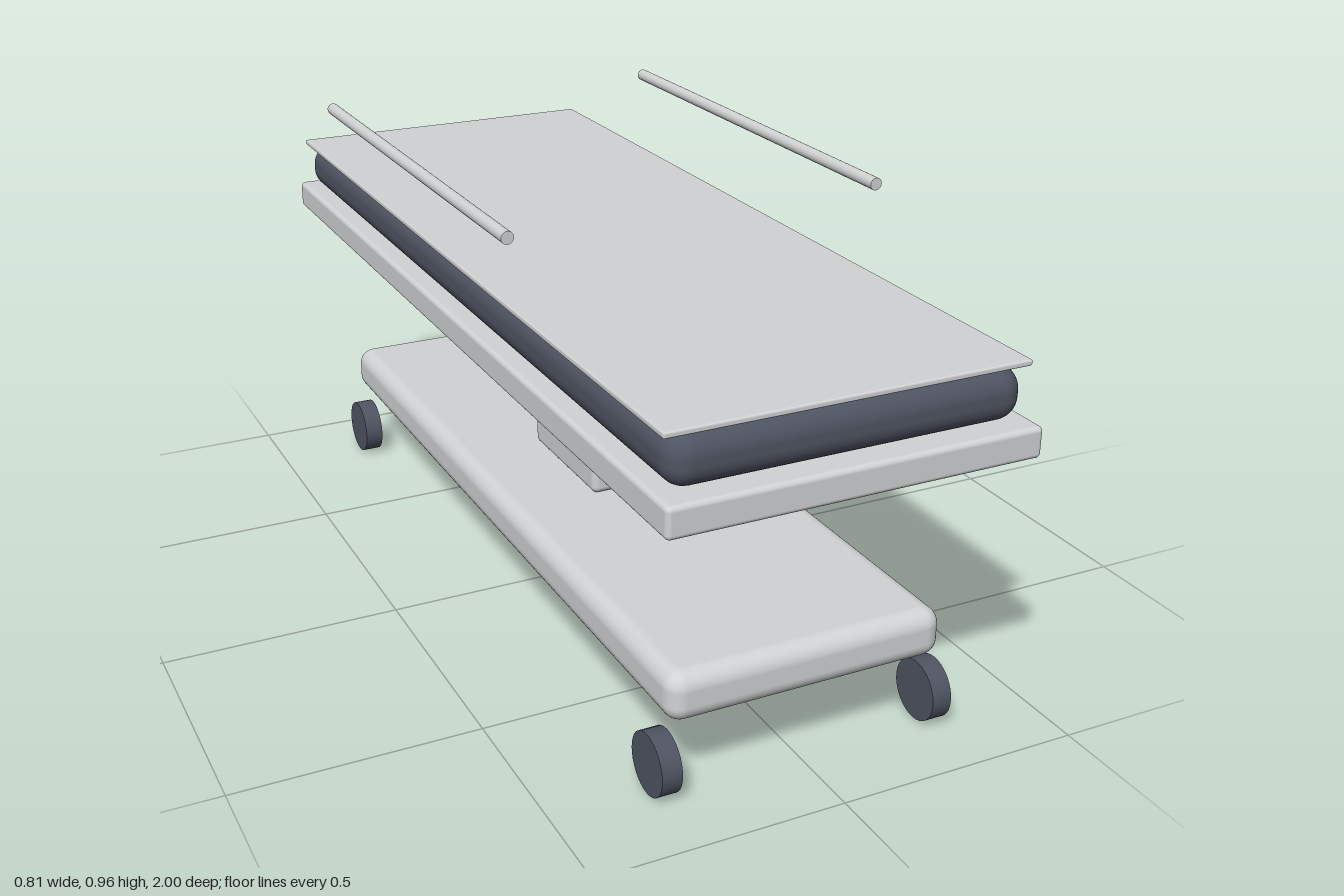
import * as THREE from 'three';
import { RoundedBoxGeometry } from 'three/addons/geometries/RoundedBoxGeometry.js';

export function createModel() {
  const model = new THREE.Group();
  model.name = 'wheeledBed';

  const lightGrey = new THREE.MeshStandardMaterial({ color: 0xd0d2d3 });
  lightGrey.name = 'lightGrey';
  const darkSlate = new THREE.MeshStandardMaterial({ color: 0x4f5462 });
  darkSlate.name = 'darkSlate';

  const add = (name, geometry, material, x, y, z) => {
    const mesh = new THREE.Mesh(geometry, material);
    mesh.name = name;
    mesh.position.set(x, y, z);
    model.add(mesh);
    return mesh;
  };

  // Rounded slab centred on x and z, spanning y0 to y1
  const slab = (name, material, width, y0, y1, depth, radius) =>
    add(name, new RoundedBoxGeometry(width, y1 - y0, depth, 5, radius), material, 0, (y0 + y1) / 2, 0);

  // Stacked body, from the floor up
  slab('base', lightGrey, 0.576, 0.157, 0.258, 1.74, 0.035);
  slab('column', lightGrey, 0.204, 0.258, 0.609, 0.308, 0.015);
  slab('bedFrame', lightGrey, 0.738, 0.609, 0.67, 2.0, 0.01);
  slab('mattress', darkSlate, 0.698, 0.67, 0.773, 1.945, 0.045);
  slab('sheet', lightGrey, 0.718, 0.773, 0.785, 1.93, 0.004);

  // Side rails and wheels, mirrored left and right
  const railGeometry = new THREE.CylinderGeometry(0.0128, 0.0128, 1.025, 24).rotateX(Math.PI / 2);
  const wheelGeometry = new THREE.CylinderGeometry(0.062, 0.062, 0.041, 32).rotateZ(Math.PI / 2);
  for (const [side, s] of [['left', 1], ['right', -1]]) {
    add(`${side}Rail`, railGeometry, lightGrey, s * 0.39, 0.946, -0.102);
    for (const [end, e] of [['Front', 1], ['Back', -1]]) {
      add(`${side}${end}Wheel`, wheelGeometry, darkSlate, s * 0.288, 0.062, e * 0.82);
    }
  }

  return model;
}
